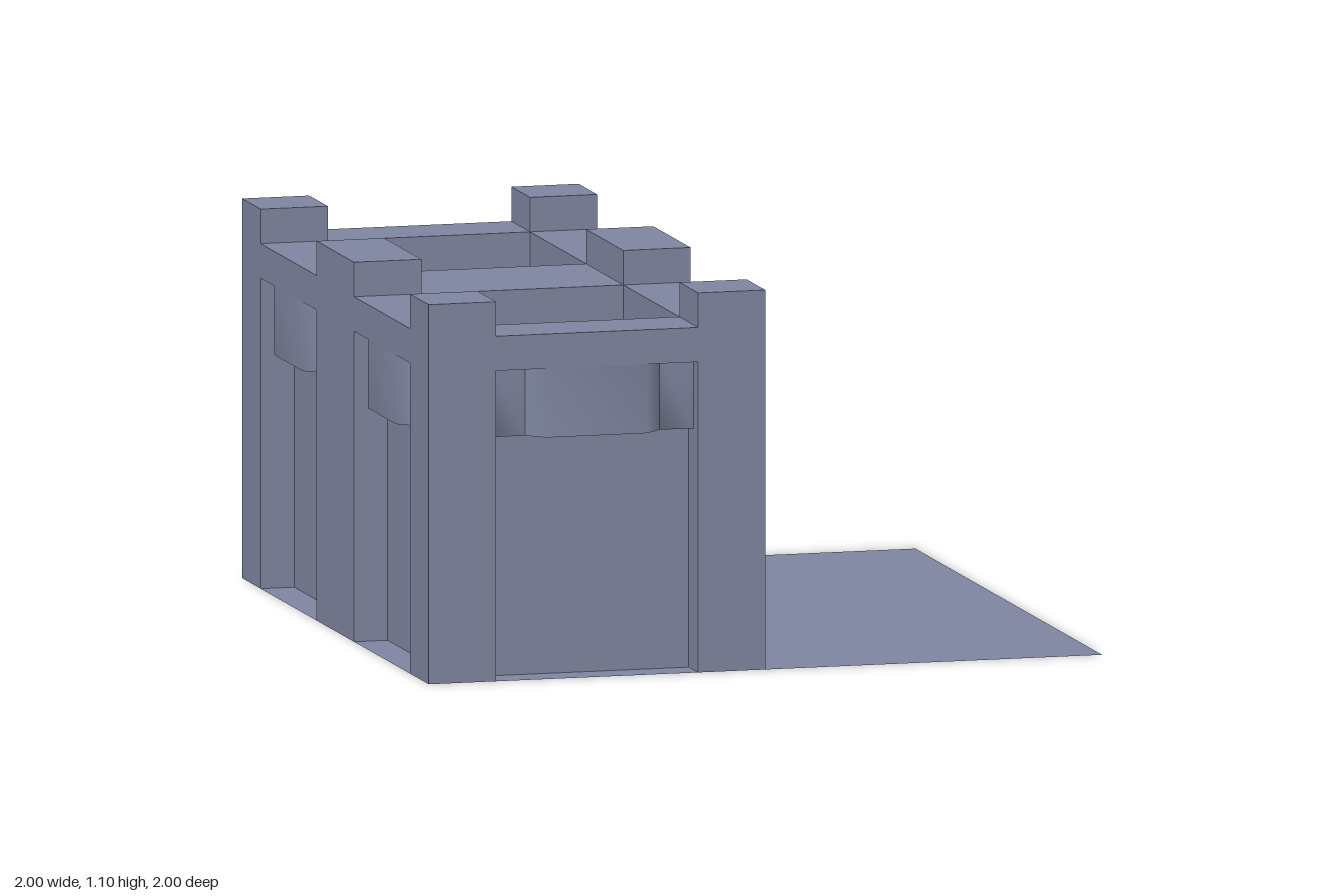
import * as THREE from 'three';

const stone = new THREE.MeshStandardMaterial({ color: 0x7f86a0, side: THREE.DoubleSide });
stone.name = 'blue grey stone';

function add(parent, name, geometry, x = 0, y = 0, z = 0) {
  const mesh = new THREE.Mesh(geometry, stone);
  mesh.name = name;
  mesh.position.set(x, y, z);
  parent.add(mesh);
  return mesh;
}

// Box standing on y0; the underside can be left open
function block(parent, name, w, h, d, x, y0, z, openBottom = false) {
  const g = new THREE.BoxGeometry(w, h, d);
  if (openBottom) {
    g.setIndex(Array.from(g.index.array).filter((_, i) => i < 18 || i >= 24));
    g.clearGroups();
  }
  return add(parent, name, g, x, y0 + h / 2, z);
}

// Horizontal sheet facing up
function floor(parent, name, w, d, x, y, z) {
  return add(parent, name, new THREE.PlaneGeometry(w, d).rotateX(-Math.PI / 2), x, y, z);
}

// Smooth sheet from rows of points, rows running top to bottom
function sheet(rows) {
  const n = rows[0].length, index = [];
  for (let r = 0; r < rows.length - 1; r++)
    for (let i = 0; i < n - 1; i++) {
      const a = r * n + i, b = a + n;
      index.push(a, b, b + 1, a, b + 1, a + 1);
    }
  const g = new THREE.BufferGeometry();
  g.setAttribute('position', new THREE.Float32BufferAttribute(rows.flat(2), 3));
  g.setIndex(index);
  g.computeVertexNormals();
  return g;
}

// Recessed wall panel with floor strip and faceted visor; local +z faces out
function makeBay() {
  const bay = new THREE.Group();
  bay.name = 'wallBay';
  add(bay, 'wallPanel', new THREE.PlaneGeometry(0.6, 0.9), 0, 0.45, -0.1);
  floor(bay, 'recessFloor', 0.6, 0.1, 0, 0, -0.05);

  const row = (pts, y, back) => pts.map(([x, z]) => [x, y, back ?? z]);
  const bulge = [[-0.2, -0.05], [-0.15, 0], [0.15, 0], [0.2, -0.05]];
  add(bay, 'visorFront', sheet([row(bulge, 0.9), row(bulge, 0.7)]));
  add(bay, 'visorUnderside', sheet([row(bulge, 0.7), row(bulge, 0.7, -0.1)]));
  for (const x of [-0.3, 0.2]) {
    const end = [[x, -0.05], [x + 0.1, -0.05]];
    add(bay, 'visorEnd', sheet([row(end, 0.9), row(end, 0.7), row(end, 0.7, -0.1)]));
  }
  return bay;
}

export function createModel() {
  const model = new THREE.Group();
  model.name = 'building';

  // Yard beside the building
  floor(model, 'yard', 1, 2, 0.5, 0, 0);

  // Pillars rising above the roof edge
  for (const x of [-0.9, -0.1]) {
    for (const z of [-0.9, 0.9]) block(model, 'cornerPillar', 0.2, 1.1, 0.2, x, 0, z, true);
    block(model, 'middlePillar', 0.2, 1.1, 0.4, x, 0, 0, true);
  }

  // Roof beams and sunken roofs
  block(model, 'middleBeam', 0.6, 0.1, 0.4, -0.5, 0.9, 0);
  for (const s of [-1, 1]) {
    block(model, 'endBeam', 0.6, 0.1, 0.2, -0.5, 0.9, s * 0.9);
    for (const x of [-0.9, -0.1]) block(model, 'sideBeam', 0.2, 0.1, 0.6, x, 0.9, s * 0.5);
    floor(model, 'sunkenRoof', 0.6, 0.6, -0.5, 0.9, s * 0.5);
    add(model, 'partition', new THREE.PlaneGeometry(0.6, 0.9), -0.5, 0.45, s * 0.1);
  }
  floor(model, 'partitionFloor', 0.6, 0.2, -0.5, 0, 0);

  // Wall bays: x, z, turn
  const q = Math.PI / 2;
  const bays = [
    [-0.5, 1, 0], [-0.5, -1, Math.PI],
    [0, 0.5, q], [0, -0.5, q],
    [-1, 0.5, -q], [-1, -0.5, -q],
  ];
  for (const [x, z, turn] of bays) {
    const bay = makeBay();
    bay.position.set(x, 0, z);
    bay.rotation.y = turn;
    model.add(bay);
  }
  return model;
}
